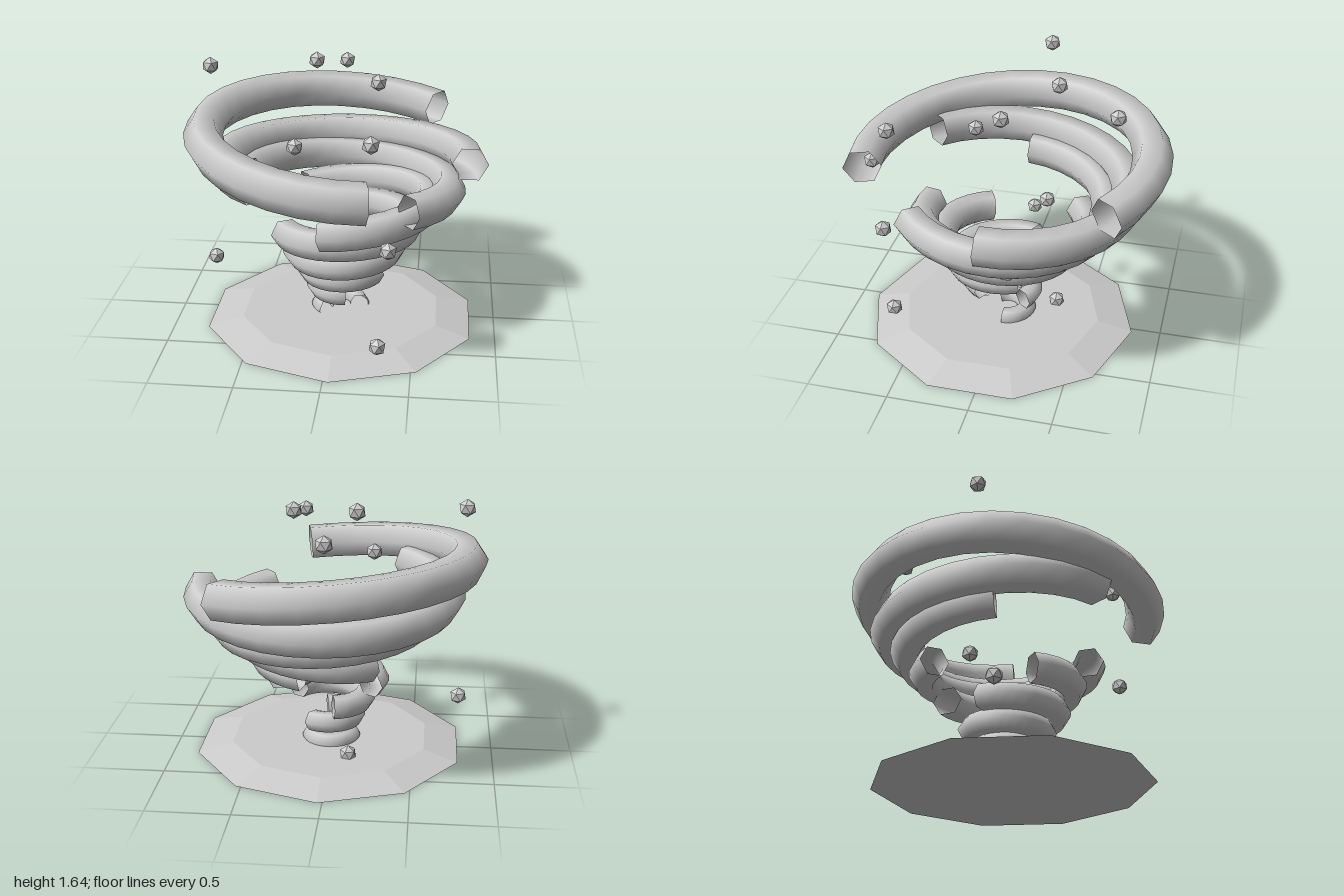
import * as THREE from 'three';

const ARC = 4.0;   // sweep of every funnel ring
const TWIST = 0.9; // each ring starts this much further round

// ring radius, tube radius, centre x, centre y, slope along x, slope along z
const RINGS = [
  [0.123, 0.061, 0.02, 0.06, 0, 0],
  [0.16, 0.067, 0.03, 0.205, -0.02, -0.05],
  [0.226, 0.075, 0.04, 0.335, 0.02, -0.03],
  [0.31, 0.082, 0.045, 0.47, 0.05, -0.04],
  [0.4, 0.095, 0.055, 0.622, 0.05, 0.04],
  [0.515, 0.098, 0.06, 0.745, 0.1, 0.03],
  [0.628, 0.105, 0.06, 0.9, -0.05, 0.055],
  [0.752, 0.112, 0.06, 1.03, 0, 0.06],
  [0.876, 0.12, 0.063, 1.172, -0.08, -0.066],
];

const DEBRIS = [
  [-0.79, 1.585, -0.1], [-0.155, 1.59, -0.275], [0, 1.495, -0.655],
  [0.245, 1.53, -0.015], [0.25, 1.375, 0.68], [-0.23, 1.205, 0.265],
  [0.1, 1.08, 0.84], [-0.225, 0.755, -0.2], [0.355, 0.755, 0.7],
  [0.51, 0.665, -0.115], [0.29, 0.48, 0.17], [0.185, 0.43, 0.14],
  [0.205, 0.4, 0.09], [-0.78, 0.355, 0], [0.3, 0.13, 0.68],
  [-0.11, 0.07, -0.3],
];

export function createModel() {
  const model = new THREE.Group();
  model.name = 'whirlwind';

  const windGrey = new THREE.MeshStandardMaterial({ color: 0xcccccc, side: THREE.DoubleSide });
  windGrey.name = 'wind grey';
  const stoneGrey = new THREE.MeshStandardMaterial({ color: 0xcccccc, flatShading: true });
  stoneGrey.name = 'stone grey';

  // Ground disc with a wide bevel
  const ground = new THREE.Mesh(new THREE.CylinderGeometry(0.635, 0.855, 0.05, 10), stoneGrey);
  ground.name = 'groundDisc';
  ground.position.set(0.03, 0.025, 0.035);
  model.add(ground);

  // Funnel: open, tilted ring arcs that widen upwards
  const funnel = new THREE.Group();
  funnel.name = 'funnel';
  RINGS.forEach(([radius, tube, x, y, slopeX, slopeZ], i) => {
    const ring = new THREE.Mesh(new THREE.TorusGeometry(radius, tube, 6, 20, ARC), windGrey);
    ring.name = `funnelRing${i + 1}`;
    ring.rotation.set(-Math.PI / 2 - slopeZ, -slopeX, i * TWIST);
    ring.position.set(x, y, 0);
    funnel.add(ring);
  });
  model.add(funnel);

  // Flying debris, each piece standing on a corner
  const debris = new THREE.Group();
  debris.name = 'debris';
  const rock = new THREE.IcosahedronGeometry(0.054, 0).rotateZ(-0.5536);
  DEBRIS.forEach((p, i) => {
    const piece = new THREE.Mesh(rock, stoneGrey);
    piece.name = `debrisPiece${i + 1}`;
    piece.position.set(...p);
    debris.add(piece);
  });
  model.add(debris);

  return model;
}
